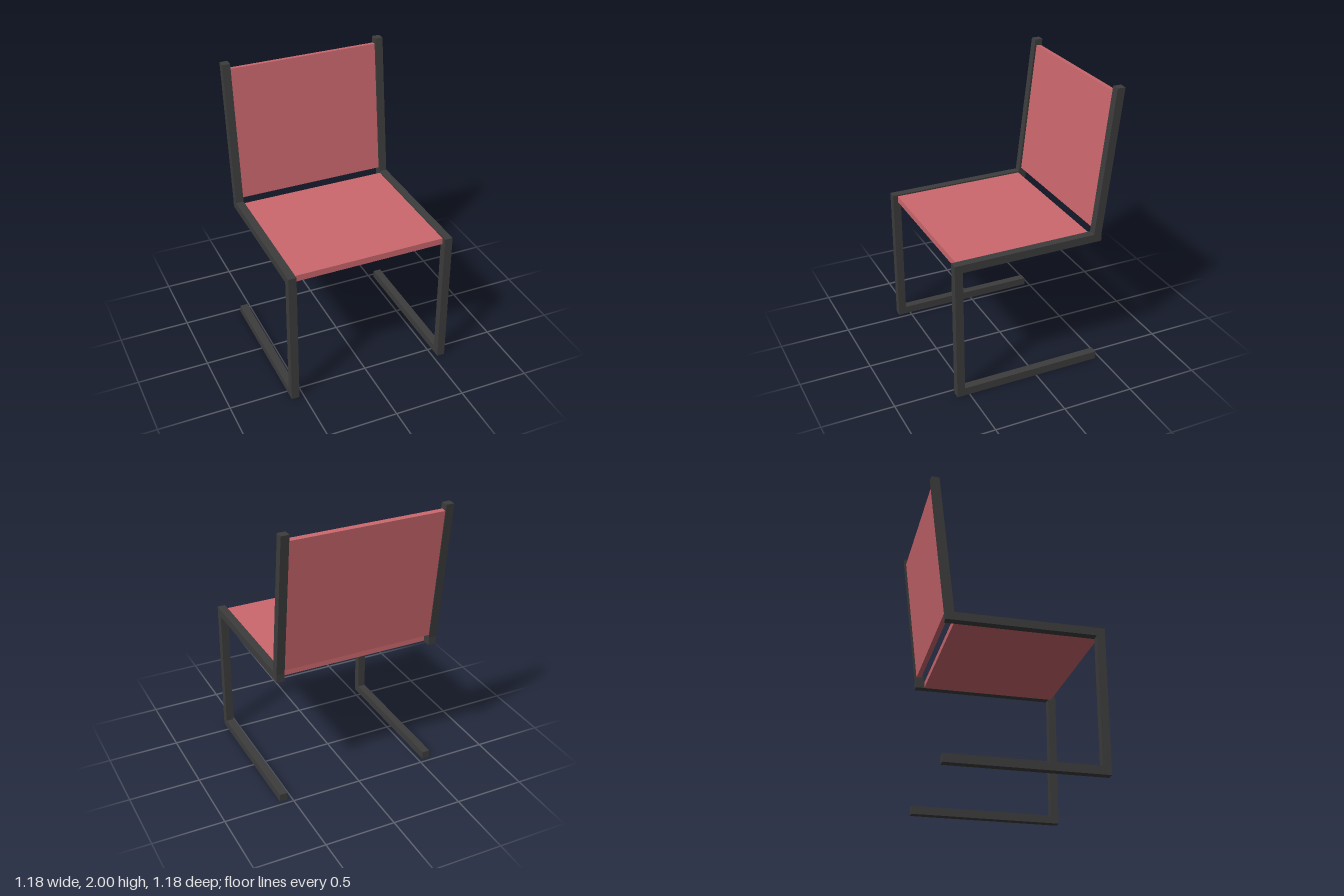
import * as THREE from 'three';

const TUBE = 0.056; // side of the square bar
const HALF = 0.588; // half of the overall width and depth

export function createModel() {
  const chair = new THREE.Group();
  chair.name = 'cantileverChair';
  const frameMat = new THREE.MeshStandardMaterial({ color: 0x3d3d3d });
  const panelMat = new THREE.MeshStandardMaterial({ color: 0xcc686e });

  const add = (name, geometry, material, x, y, z) => {
    const mesh = new THREE.Mesh(geometry, material);
    mesh.name = name;
    mesh.position.set(x, y, z);
    chair.add(mesh);
    return mesh;
  };

  // Side frame: floor runner, front leg, seat rail and leaning back post as one (z, y) outline
  const back = -0.468, front = HALF, inner = HALF - TUBE;
  const outline = new THREE.Shape([
    [back, 0], [front, 0], [front, 1], [back + TUBE, 1],
    [-HALF + TUBE, 2], [-HALF, 2], [back, 1], [back, 1 - TUBE],
    [inner, 1 - TUBE], [inner, TUBE], [back, TUBE],
  ].map(([z, y]) => new THREE.Vector2(z, y)));
  const frameGeo = new THREE.ExtrudeGeometry(outline, { depth: TUBE, bevelEnabled: false });
  frameGeo.translate(0, 0, -TUBE / 2).rotateY(-Math.PI / 2);
  for (const [name, side] of [['leftFrame', 1], ['rightFrame', -1]]) {
    add(name, frameGeo, frameMat, side * (HALF - TUBE / 2), 0, 0);
  }

  // Seat panel between the rails
  const width = 2 * inner;
  add('seat', new THREE.BoxGeometry(width, 0.045, 0.958), panelMat, 0, 0.9675, 0.074);

  // Back panel, leaning with the posts
  const backrest = add('backrest', new THREE.BoxGeometry(width, 0.942, 0.036), panelMat, 0, 1.49, -0.503);
  backrest.rotation.x = -Math.atan2(0.12, 1);

  return chair;
}
